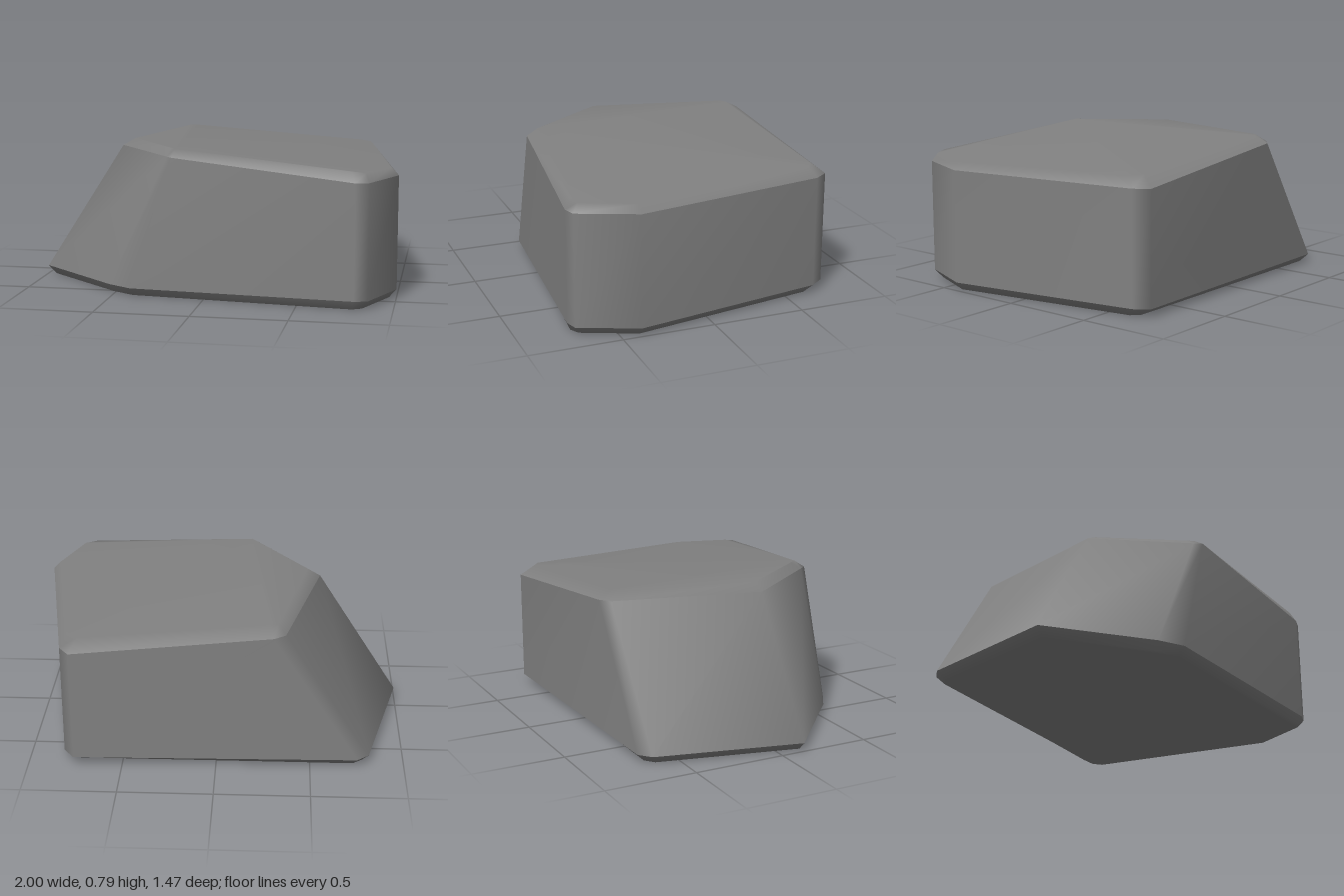
import * as THREE from 'three';

// Outlines as [x, y, z], running from the left tip round the front, right and back
const foot = [
  [-1, 0.045, 0.13], [-0.53, 0.045, 0.55], [-0.4, 0.045, 0.63], [0.8, 0.045, 0.73], [0.87, 0.045, 0.71],
  [1, 0.045, 0.4], [0.815, 0.045, -0.66], [0.76, 0.045, -0.735], [-0.75, 0.045, -0.705], [-0.815, 0.045, -0.65],
];
const shoulder = [
  [-0.55, 0.75, 0.13], [-0.2, 0.75, 0.59], [-0.17, 0.75, 0.63], [0.8, 0.655, 0.73], [0.87, 0.655, 0.71],
  [1, 0.655, 0.4], [0.815, 0.655, -0.66], [0.76, 0.655, -0.735], [-0.3, 0.75, -0.705], [-0.36, 0.75, -0.66],
];
const crown = [
  [-0.48, 0.79, 0.13], [-0.19, 0.79, 0.53], [-0.16, 0.79, 0.57], [0.78, 0.71, 0.7], [0.85, 0.702, 0.68],
  [0.96, 0.695, 0.4], [0.78, 0.71, -0.62], [0.72, 0.715, -0.66], [-0.28, 0.79, -0.63], [-0.32, 0.79, -0.61],
];
const sole = [
  [-0.955, 0, 0.13], [-0.51, 0, 0.52], [-0.39, 0, 0.59], [0.79, 0, 0.71], [0.84, 0, 0.68],
  [0.96, 0, 0.4], [0.785, 0, -0.62], [0.74, 0, -0.66], [-0.73, 0, -0.66], [-0.78, 0, -0.62],
];

// Band between two outlines, optionally closed by a fan over the upper or lower one
function shell(lower, upper, cap) {
  const n = lower.length, index = [];
  for (let i = 0; i < n; i++) {
    const j = (i + 1) % n;
    index.push(i, j, n + j, i, n + j, n + i);
  }
  // the fan starts at the front crest so that one of its edges forms the ridge
  for (let k = 1; cap && k < n - 1; k++) {
    const a = 2, b = (2 + k) % n, c = (3 + k) % n;
    if (cap === 'upper') index.push(n + a, n + b, n + c);
    else index.push(a, c, b);
  }
  const geometry = new THREE.BufferGeometry();
  geometry.setAttribute('position', new THREE.Float32BufferAttribute([...lower, ...upper].flat(), 3));
  geometry.setIndex(index);
  geometry.computeVertexNormals();
  return geometry;
}

export function createModel() {
  const group = new THREE.Group();
  group.name = 'rock';
  const stone = new THREE.MeshStandardMaterial({ color: 0x808080 });
  stone.name = 'stone grey';

  const add = (name, geometry) => {
    const mesh = new THREE.Mesh(geometry, stone);
    mesh.name = name;
    group.add(mesh);
  };
  // Separate shells keep the edges between sides, top and underside sharp
  add('rockSides', shell(foot, shoulder));
  add('rockTop', shell(shoulder, crown, 'upper'));
  add('rockUnderside', shell(sole, foot, 'lower'));
  return group;
}
